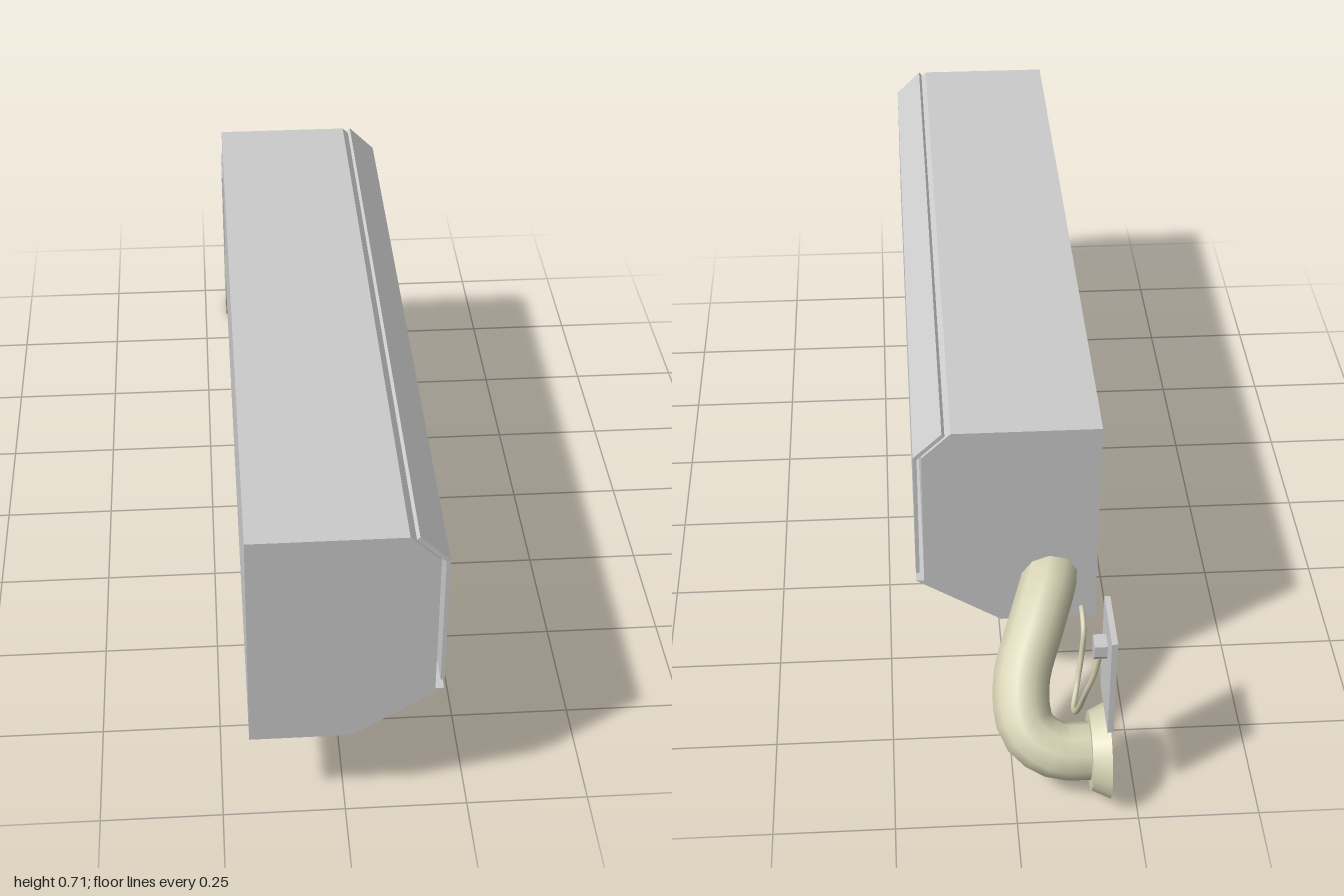
import * as THREE from 'three';

const Z0 = -0.613, Z1 = 1;
const grey = new THREE.MeshStandardMaterial({ color: 0xcccccc });
const dark = new THREE.MeshStandardMaterial({ color: 0x0c0c0c, side: THREE.DoubleSide });
const beige = new THREE.MeshStandardMaterial({ color: 0xd6d2b4 });

const v3 = (p) => new THREE.Vector3(...p);
const polygon = (pts) => new THREE.Shape(pts.map((p) => new THREE.Vector2(...p)));

function add(parent, name, geometry, material = grey) {
  const mesh = new THREE.Mesh(geometry, material);
  mesh.name = name;
  parent.add(mesh);
  return mesh;
}

// Flat wall standing on the profile edge a-b, running along z, with an optional window
function wall(a, b, z0 = Z0, z1 = Z1, window = null) {
  const along = new THREE.Vector3(b[0] - a[0], b[1] - a[1], 0);
  const len = along.length();
  along.normalize();
  const rect = (u0, u1, w0, w1) => [[u0, w0], [u1, w0], [u1, w1], [u0, w1]];
  const shape = polygon(rect(0, len, 0, z1 - z0));
  if (window) {
    const [t0, t1, w0, w1] = window;
    shape.holes.push(polygon(rect(t0 * len, t1 * len, w0 - z0, w1 - z0)));
  }
  const normal = new THREE.Vector3(along.y, -along.x, 0);
  const m = new THREE.Matrix4().makeBasis(along, new THREE.Vector3(0, 0, 1), normal);
  m.setPosition(a[0], a[1], z0);
  return new THREE.ShapeGeometry(shape).applyMatrix4(m);
}

// Prism with an xy profile between two z positions
function prism(pts, z0, z1) {
  const g = new THREE.ExtrudeGeometry(polygon(pts), { depth: z1 - z0, bevelEnabled: false });
  return g.translate(0, 0, z0);
}

function tube(points, segments, radius, sides) {
  const curve = new THREE.CatmullRomCurve3(points.map(v3));
  return new THREE.TubeGeometry(curve, segments, radius, sides);
}

export function createModel() {
  const model = new THREE.Group();
  model.name = 'wallAirConditioner';

  // Casing: walls around the profile, the sloped one (edge 1) has the outlet window
  const casing = new THREE.Group();
  casing.name = 'casing';
  model.add(casing);
  const profile = [[-0.193, 0.215], [0.01, 0.215], [0.19, 0.333], [0.173, 0.333],
    [0.173, 0.658], [0.113, 0.717], [-0.193, 0.717]];
  const outlet = [0.17, 0.873, -0.37, 0.905];
  profile.forEach((a, i) => {
    const b = profile[(i + 1) % profile.length];
    add(casing, 'casingWall', wall(a, b, Z0, Z1, i === 1 ? outlet : null));
  });
  add(casing, 'casingEnd', new THREE.ShapeGeometry(polygon(profile))).position.z = Z1;
  const rearEnd = polygon(profile.map(([x, y]) => [-x, y]));
  const rear = add(casing, 'casingEnd', new THREE.ShapeGeometry(rearEnd));
  rear.rotation.y = Math.PI;
  rear.position.z = Z0;

  // Dark outlet recess behind the window
  const recess = new THREE.Group();
  recess.name = 'outletRecess';
  model.add(recess);
  const [p, q] = [profile[1], profile[2]];
  const onSlope = (t) => [p[0] + (q[0] - p[0]) * t, p[1] + (q[1] - p[1]) * t];
  const inward = ([x, y]) => [x - 0.055, y + 0.084];
  const lower = onSlope(outlet[0]), upper = onSlope(outlet[1]);
  const section = [lower, inward(lower), inward(upper), upper];
  for (let i = 0; i < 3; i++) {
    add(recess, 'recessWall', wall(section[i], section[i + 1], outlet[2], outlet[3]), dark);
  }
  for (const z of [outlet[2], outlet[3]]) {
    add(recess, 'recessEnd', new THREE.ShapeGeometry(polygon(section)), dark).position.z = z;
  }

  // Tilted air flap reaching out of the outlet
  add(model, 'airFlap', prism([[0.036, 0.293], [0.143, 0.235], [0.145, 0.239], [0.038, 0.298]], -0.35, 0.86));

  // Bent cover panel with a long notch along its lower edge
  const cover = new THREE.Group();
  cover.name = 'coverPanel';
  model.add(cover);
  add(cover, 'coverSheet', prism([[0.182, 0.38], [0.19, 0.38], [0.19, 0.659], [0.131, 0.717],
    [0.125, 0.711], [0.182, 0.655]], Z0, Z1));
  for (const [z0, z1] of [[Z0, -0.49], [0.88, Z1]]) {
    add(cover, 'coverTab', prism([[0.182, 0.355], [0.19, 0.355], [0.19, 0.38], [0.182, 0.38]], z0, z1));
  }

  // Drain pipe curving from the casing end to the wall flange
  add(model, 'pipe', tube([[-0.1, 0.335, -0.57], [-0.09, 0.325, -0.62], [-0.06, 0.285, -0.7],
    [-0.02, 0.205, -0.8], [-0.03, 0.14, -0.87], [-0.085, 0.11, -0.9], [-0.17, 0.103, -0.9]], 18, 0.06, 10), beige);
  const flange = add(model, 'pipeFlange', new THREE.CylinderGeometry(0.082, 0.1, 0.038, 20), beige);
  flange.rotation.z = -Math.PI / 2;
  flange.position.set(-0.174, 0.103, -0.9);

  // Wall socket, tapered plug and hanging cable
  const plate = add(model, 'socketPlate', new THREE.BoxGeometry(0.012, 0.24, 0.14));
  plate.position.set(-0.187, 0.345, -0.9);
  const plug = polygon([[-0.009, -0.02], [0.009, -0.02], [0.019, -0.006], [0.019, 0.02], [-0.019, 0.02], [-0.019, -0.006]]);
  const plugMesh = add(model, 'plug', new THREE.ExtrudeGeometry(plug, { depth: 0.03, bevelEnabled: false }));
  plugMesh.rotation.y = Math.PI / 2;
  plugMesh.position.set(-0.185, 0.388, -0.897);
  add(model, 'cable', tube([[-0.168, 0.375, -0.897], [-0.16, 0.31, -0.89], [-0.147, 0.24, -0.87],
    [-0.14, 0.16, -0.83], [-0.136, 0.1, -0.785], [-0.138, 0.08, -0.745], [-0.148, 0.1, -0.705],
    [-0.158, 0.155, -0.68], [-0.163, 0.215, -0.665], [-0.163, 0.238, -0.635], [-0.163, 0.24, -0.6]], 48, 0.006, 8), beige);

  return model;
}
